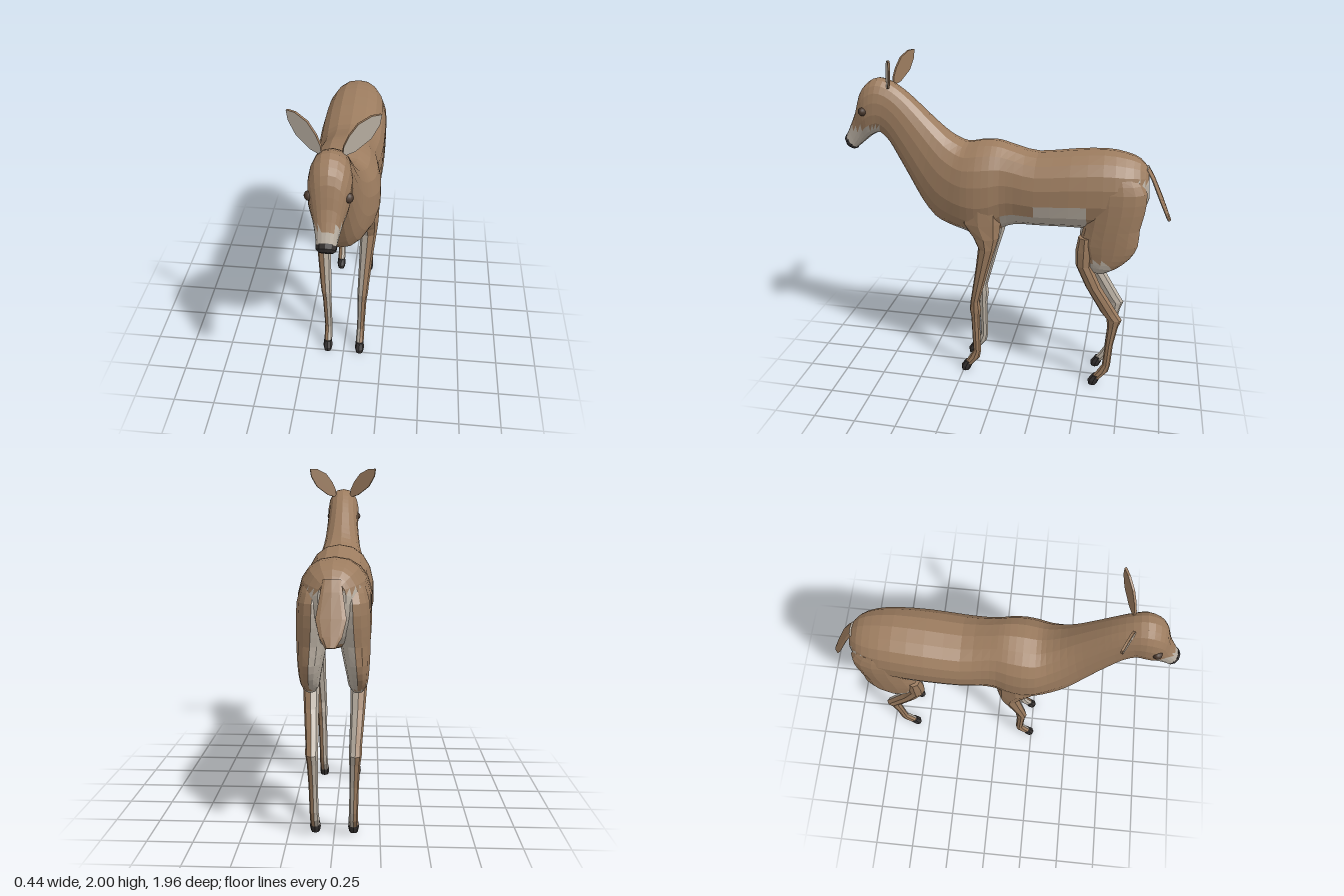
import * as THREE from 'three';

const mat = (name, color, side = THREE.FrontSide) => {
  const m = new THREE.MeshStandardMaterial({ color, side });
  m.name = name;
  return m;
};

// Superellipse ring around a centre, spanned by the vectors u and v
function ring(centre, u, v, sides, power = 1) {
  const bend = t => Math.sign(t) * Math.pow(Math.abs(t), power);
  return Array.from({ length: sides }, (_, i) => {
    const a = (i / sides) * Math.PI * 2;
    return centre.clone().addScaledVector(u, bend(Math.cos(a))).addScaledVector(v, bend(Math.sin(a)));
  });
}

// Smooth interpolation of a list of number rows
function refine(rows, steps) {
  const out = [];
  const at = i => rows[Math.max(0, Math.min(rows.length - 1, i))];
  for (let i = 0; i < rows.length - 1; i++) {
    for (let k = 0; k < steps; k++) {
      const t = k / steps;
      out.push(rows[i].map((b, j) => {
        const a = at(i - 1)[j], c = at(i + 1)[j], d = at(i + 2)[j];
        return b + 0.5 * t * (c - a + t * (2 * a - 5 * b + 4 * c - d + t * (3 * (b - c) + d - a)));
      }));
    }
  }
  out.push(rows[rows.length - 1]);
  return out;
}

// Closed faceted skin over rings; paint(centre, normal) picks a material index per face
function loft(name, rings, materials, paint = () => 0) {
  const tris = [];
  const n = rings[0].length;
  for (let r = 0; r < rings.length - 1; r++) {
    for (let i = 0; i < n; i++) {
      const j = (i + 1) % n;
      const a = rings[r][i], b = rings[r][j], c = rings[r + 1][j], d = rings[r + 1][i];
      tris.push([a, b, c], [a, c, d]);
    }
  }
  [rings[0], rings[rings.length - 1]].forEach((cap, end) => {
    const mid = cap.reduce((s, p) => s.add(p), new THREE.Vector3()).divideScalar(n);
    cap.forEach((p, i) => {
      const q = cap[(i + 1) % n];
      tris.push(end ? [p, q, mid] : [q, p, mid]);
    });
  });
  // Turn the skin outward
  const origin = rings[0][0];
  const rel = p => p.clone().sub(origin);
  const volume = tris.reduce((s, [a, b, c]) => s + rel(a).dot(rel(b).cross(rel(c))), 0);
  if (volume < 0) tris.forEach(t => t.reverse());

  const buckets = materials.map(() => []);
  const tri = new THREE.Triangle(), mid = new THREE.Vector3(), normal = new THREE.Vector3();
  for (const t of tris) {
    tri.set(...t);
    tri.getMidpoint(mid);
    tri.getNormal(normal);
    buckets[paint(mid, normal)].push(...t);
  }
  const geo = new THREE.BufferGeometry().setFromPoints(buckets.flat());
  let start = 0;
  buckets.forEach((b, i) => {
    if (b.length) geo.addGroup(start, b.length, i);
    start += b.length;
  });
  geo.computeVertexNormals();
  const mesh = new THREE.Mesh(geo, materials);
  mesh.name = name;
  return mesh;
}

// Level rings from rows of [y, z, half depth, x, half width]
const limbRings = (rows, s, sides) => rows.map(([y, z, hz, x, hx]) =>
  ring(new THREE.Vector3(s * x, y, z), new THREE.Vector3(0, 0, hz), new THREE.Vector3(hx, 0, 0), sides));

export function createModel() {
  const model = new THREE.Group();
  const brown = mat('brown coat', 0x9c7c5f);
  const pale = mat('pale fur', 0xb9afa2);
  const dark = mat('dark horn', 0x353130);
  const eyeBrown = mat('eye', 0x49382d);

  // Trunk, neck and head: rows of top z, top y, bottom z, bottom y, half width
  const trunk = [
    [-0.83, 1.41, -0.845, 1.24, 0.07], [-0.78, 1.465, -0.8, 1.12, 0.13],
    [-0.7, 1.495, -0.72, 1.06, 0.17], [-0.58, 1.51, -0.6, 1.04, 0.19],
    [-0.4, 1.495, -0.4, 1.04, 0.2], [-0.2, 1.47, -0.2, 1.035, 0.197],
    [-0.08, 1.495, -0.08, 1.03, 0.185], [0, 1.52, 0, 1.0, 0.185],
    [0.06, 1.53, 0.06, 0.96, 0.2], [0.14, 1.525, 0.15, 0.945, 0.21],
    [0.21, 1.51, 0.24, 0.97, 0.203], [0.26, 1.52, 0.34, 1.0, 0.18],
    [0.33, 1.56, 0.42, 1.04, 0.155], [0.4, 1.62, 0.5, 1.14, 0.13],
    [0.47, 1.685, 0.57, 1.27, 0.115], [0.54, 1.75, 0.64, 1.4, 0.105],
    [0.6, 1.8, 0.69, 1.49, 0.1], [0.67, 1.845, 0.74, 1.54, 0.1],
    [0.74, 1.865, 0.775, 1.535, 0.105], [0.81, 1.835, 0.81, 1.515, 0.1],
    [0.86, 1.77, 0.835, 1.495, 0.085], [0.895, 1.66, 0.86, 1.475, 0.068],
    [0.94, 1.565, 0.89, 1.45, 0.054], [0.965, 1.515, 0.905, 1.44, 0.05],
  ];
  const trunkRings = refine(trunk, 2).map(([tz, ty, bz, by, w]) => ring(
    new THREE.Vector3(0, (ty + by) / 2, (tz + bz) / 2),
    new THREE.Vector3(0, (ty - by) / 2, (tz - bz) / 2),
    new THREE.Vector3(w, 0, 0), 18, 0.88));
  const paintTrunk = (c, n) => {
    const belly = c.z < 0 && c.z > -0.55 && c.y < (c.z < -0.18 && c.z > -0.47 ? 1.2 : 1.12);
    const chest = c.z >= 0 && c.z < 0.28 && c.y < 1.02;
    const rump = c.z < -0.76 && c.y < 1.36 && n.z < -0.2;
    const jaw = c.z > 0.73 && c.y < 1.59 - 0.1 * (c.z - 0.74);
    const muzzle = c.z > 0.9 && c.y < 1.57;
    return belly || chest || rump || jaw || muzzle ? 1 : 0;
  };
  model.add(loft('body', trunkRings, [brown, pale], paintTrunk));

  // Nose tip
  const nose = [[0.966, 1.522, 0.902, 1.436, 0.052], [0.98, 1.5, 0.915, 1.428, 0.049],
    [0.975, 1.475, 0.935, 1.432, 0.034]];
  model.add(loft('nose', nose.map(([tz, ty, bz, by, w]) => ring(
    new THREE.Vector3(0, (ty + by) / 2, (tz + bz) / 2),
    new THREE.Vector3(0, (ty - by) / 2, (tz - bz) / 2),
    new THREE.Vector3(w, 0, 0), 10)), [dark]));

  // Tail: flat blade, brown above and pale below
  const blade = [[1.42, -0.82, 0.045], [1.36, -0.855, 0.055], [1.24, -0.91, 0.075],
    [1.16, -0.945, 0.055], [1.11, -0.967, 0.025]];
  model.add(loft('tail', blade.map(([y, z, w]) => ring(new THREE.Vector3(0, y, z),
    new THREE.Vector3(0, 0.004, -0.01), new THREE.Vector3(w, 0, 0), 8)),
  [brown, pale], (c, n) => (n.z > 0 ? 1 : 0)));

  // Limb profiles: y, z, half depth, x, half width
  const frontLeg = [
    [1.22, 0.12, 0.12, 0.12, 0.08], [1.06, 0.12, 0.12, 0.13, 0.07],
    [0.97, 0.09, 0.08, 0.135, 0.06], [0.9, 0.083, 0.052, 0.138, 0.051],
    [0.75, 0.115, 0.04, 0.13, 0.042], [0.52, 0.165, 0.028, 0.118, 0.034],
    [0.46, 0.165, 0.036, 0.115, 0.033], [0.4, 0.165, 0.027, 0.112, 0.028],
    [0.15, 0.16, 0.025, 0.106, 0.024], [0.1, 0.178, 0.034, 0.105, 0.026],
    [0.045, 0.22, 0.03, 0.105, 0.025],
  ];
  const thigh = [
    [1.38, -0.66, 0.12, 0.09, 0.07], [1.3, -0.665, 0.165, 0.1, 0.085],
    [1.18, -0.66, 0.165, 0.105, 0.087], [1.08, -0.645, 0.16, 0.112, 0.08],
    [0.98, -0.635, 0.165, 0.12, 0.069], [0.9, -0.63, 0.13, 0.125, 0.058],
    [0.84, -0.61, 0.085, 0.125, 0.048], [0.8, -0.59, 0.035, 0.125, 0.025],
  ];
  const hindLeg = [
    [1.02, -0.5, 0.04, 0.13, 0.045], [0.93, -0.498, 0.052, 0.13, 0.048],
    [0.84, -0.497, 0.047, 0.13, 0.046], [0.7, -0.56, 0.047, 0.125, 0.04],
    [0.53, -0.662, 0.05, 0.116, 0.034], [0.485, -0.695, 0.046, 0.115, 0.034],
    [0.43, -0.69, 0.032, 0.112, 0.029], [0.3, -0.675, 0.024, 0.109, 0.025],
    [0.15, -0.665, 0.025, 0.106, 0.024], [0.1, -0.645, 0.034, 0.105, 0.026],
    [0.045, -0.603, 0.03, 0.105, 0.025],
  ];
  const hoof = z => [[0.068, z - 0.015, 0.027, 0.105, 0.026], [0.03, z + 0.002, 0.034, 0.105, 0.03],
    [0, z + 0.008, 0.026, 0.105, 0.024]];

  // Ear outline: distance along the ear, height
  const earPoints = [[0, 1.81], [0.06, 1.825], [0.14, 1.88], [0.18, 1.945], [0.188, 1.995],
    [0.14, 1.995], [0.075, 1.965], [0.03, 1.91], [0.005, 1.86]].map(p => new THREE.Vector2(...p));

  for (const s of [1, -1]) {
    const label = s > 0 ? 'left' : 'right';
    const inner = (c, n) => (n.x * s < -0.3 && c.y < 1.05 ? 1 : 0);
    model.add(
      loft(label + 'FrontLeg', limbRings(frontLeg, s, 8), [brown, pale],
        (c, n) => (inner(c, n) || (c.y > 0.93 && c.y < 1.0 && n.y < -0.4) ? 1 : 0)),
      loft(label + 'Thigh', limbRings(refine(thigh, 2), s, 14), [brown, pale],
        (c, n) => (n.x * s < -0.2 || (c.y < 0.88 && c.z > -0.66 && c.z < -0.53) ? 1 : 0)),
      loft(label + 'HindLeg', limbRings(hindLeg, s, 8), [brown, pale], inner),
      loft(label + 'FrontHoof', limbRings(hoof(0.23), s, 8), [dark]),
      loft(label + 'HindHoof', limbRings(hoof(-0.593), s, 8), [dark]),
    );

    // Eye
    const eye = new THREE.Mesh(new THREE.IcosahedronGeometry(0.026, 1), eyeBrown);
    eye.name = label + 'Eye';
    eye.position.set(s * 0.09, 1.68, 0.822);
    model.add(eye);

    // Ear: brown blade with a pale inner face
    const ear = new THREE.Group();
    ear.name = label + 'Ear';
    const shape = new THREE.Shape(earPoints.map(p => new THREE.Vector2(s * p.x, p.y)));
    const back = new THREE.Mesh(
      new THREE.ExtrudeGeometry(shape, { depth: 0.012, bevelEnabled: false }), brown);
    back.name = label + 'EarBack';
    const face = new THREE.Mesh(new THREE.ShapeGeometry(shape), pale);
    face.name = label + 'EarInner';
    face.position.z = 0.014;
    ear.add(back, face);
    ear.position.set(s * 0.045, 0, 0.67);
    ear.rotation.y = s * 0.44;
    model.add(ear);
  }
  return model;
}
